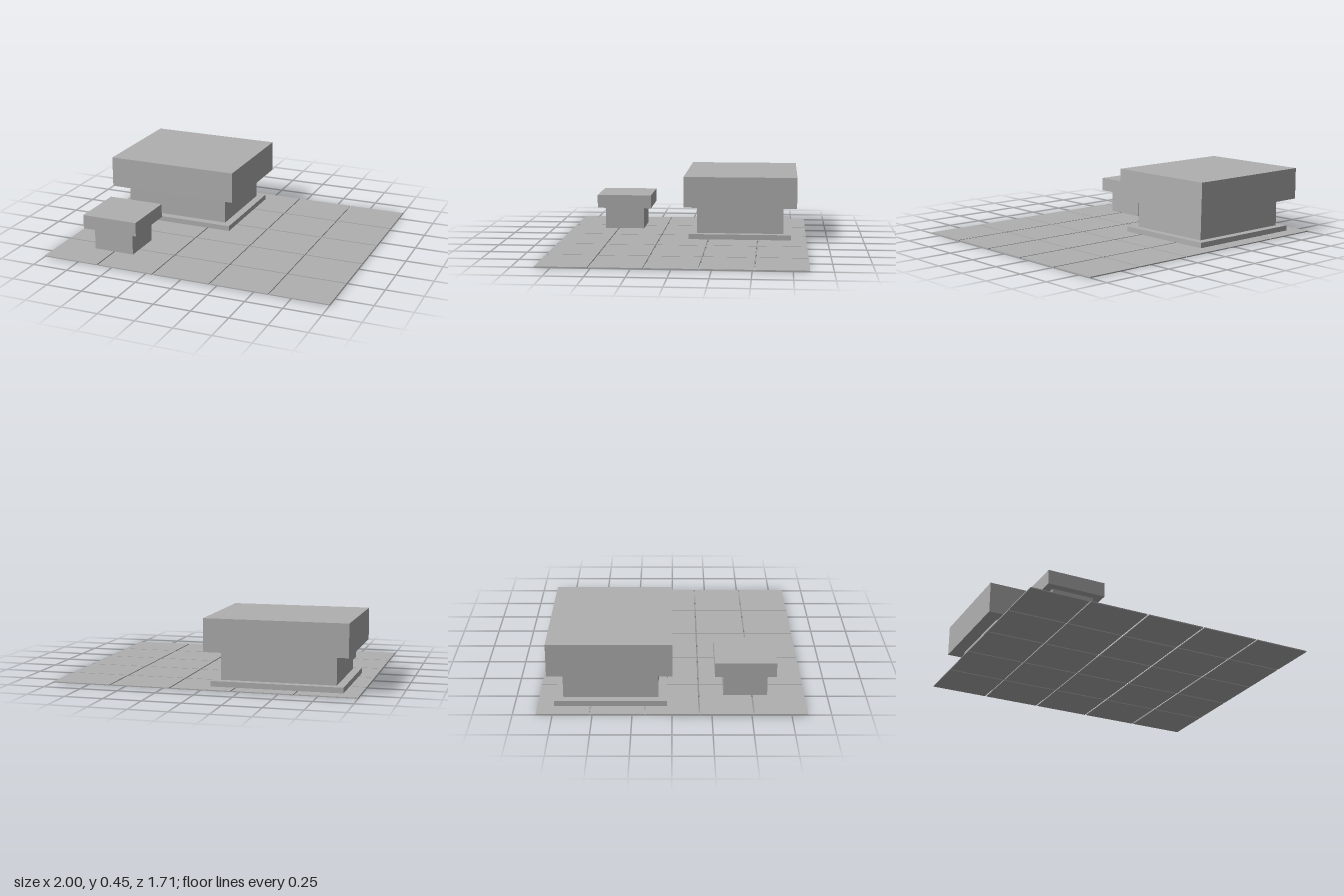
import * as THREE from 'three';

export function createModel() {
  const model = new THREE.Group();
  const stoneGrey = new THREE.MeshStandardMaterial({ color: 0xb0b0b0 });

  // Box given by its extents along each axis
  function slab(name, parent, [x0, x1], [y0, y1], [z0, z1]) {
    const mesh = new THREE.Mesh(new THREE.BoxGeometry(x1 - x0, y1 - y0, z1 - z0), stoneGrey);
    mesh.position.set((x0 + x1) / 2, (y0 + y1) / 2, (z0 + z1) / 2);
    mesh.name = name;
    parent.add(mesh);
  }

  function group(name) {
    const g = new THREE.Group();
    g.name = name;
    model.add(g);
    return g;
  }

  // Paved ground: five by five thin tiles with narrow joints
  const paving = group('paving');
  const count = 5, gap = 0.01, thick = 0.007;
  const halfX = 1, halfZ = 0.853;
  const tileX = (2 * halfX - gap * (count - 1)) / count;
  const tileZ = (2 * halfZ - gap * (count - 1)) / count;
  for (let i = 0; i < count; i++) {
    for (let j = 0; j < count; j++) {
      const x = -halfX + i * (tileX + gap);
      const z = -halfZ + j * (tileZ + gap);
      slab('pavingTile', paving, [x, x + tileX], [0, thick], [z, z + tileZ]);
    }
  }

  // Large building: plinth, walls and overhanging roof
  const large = group('largeBuilding');
  slab('plinth', large, [-0.893, -0.037], [thick, 0.043], [-0.747, -0.032]);
  slab('walls', large, [-0.84, -0.09], [0.043, 0.235], [-0.692, -0.087]);
  slab('roof', large, [-0.93, 0], [0.235, 0.45], [-0.785, 0.002]);

  // Small building: walls and overhanging roof
  const small = group('smallBuilding');
  slab('walls', small, [-0.748, -0.465], [thick, 0.165], [0.33, 0.613]);
  slab('roof', small, [-0.802, -0.411], [0.165, 0.26], [0.273, 0.666]);

  return model;
}
